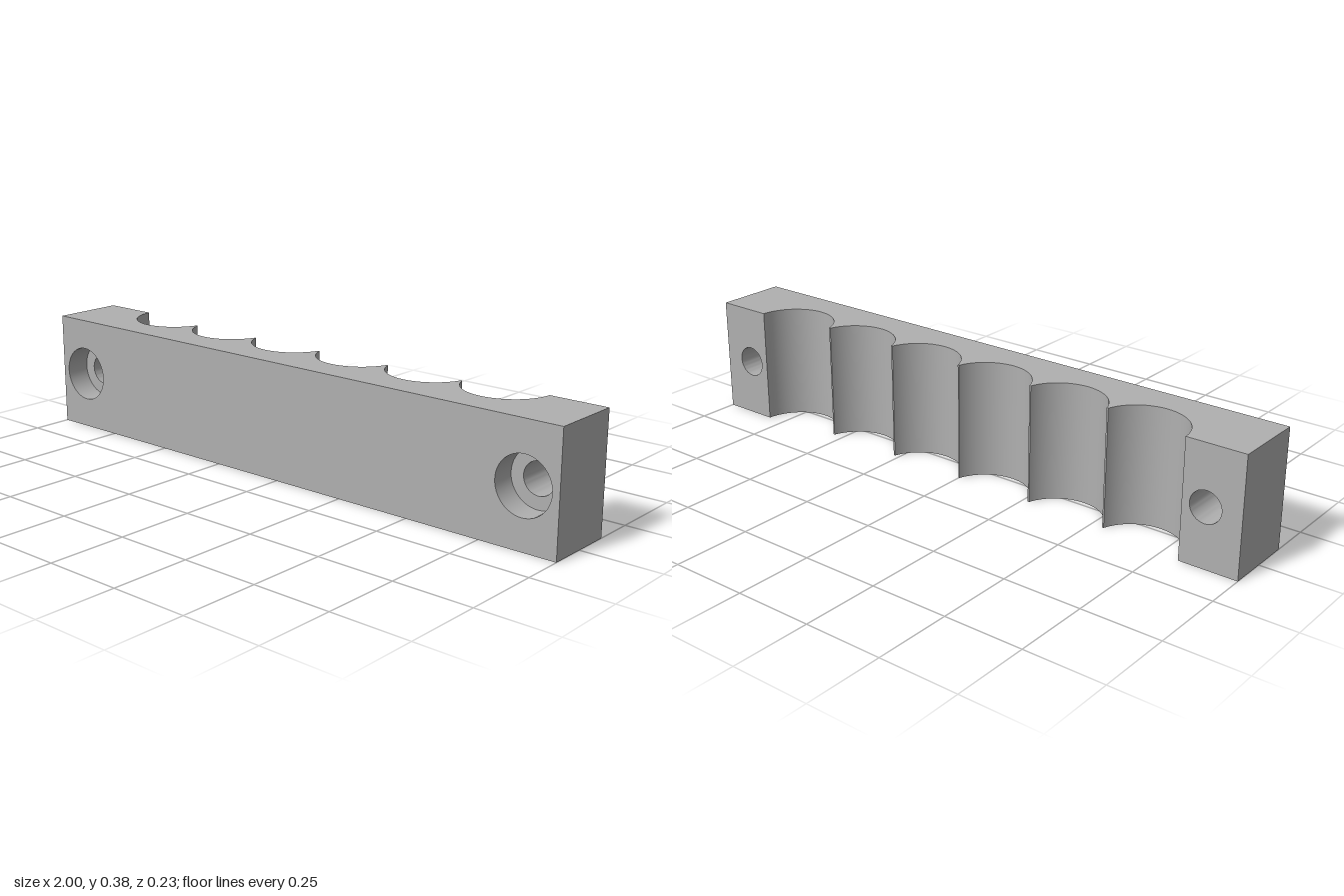
import * as THREE from 'three';
import { toCreasedNormals } from 'three/addons/utils/BufferGeometryUtils.js';

const H = 0.376, D = 0.117;                  // height, half depth
const PITCH = 0.27, R = 0.138, CZ = -0.122;  // scallop spacing, radius, axis z
const TIP_Z = -0.083;                        // flat tips between scallops
const HOLE_X = 0.887, BORE = 0.05, SINK = 0.09, SEAT_Z = 0.037;
const SEG = 24;

const tipAngle = Math.acos((TIP_Z - CZ) / R);
const endAngle = Math.acos((-D - CZ) / R);
const edgeX = 2.5 * PITCH + R * Math.sin(endAngle);

// centre and angular range of each of the six scallops
const scallops = Array.from({ length: 6 }, (_, i) => ({
  x: (i - 2.5) * PITCH,
  from: i === 0 ? -endAngle : -tipAngle,
  to: i === 5 ? endAngle : tipAngle,
}));

// outline seen from above; sign flips z so it can be laid facing up or down
function outline(sign) {
  const pts = [[-1, D], [-1, -D]];
  for (const s of scallops) {
    for (let k = 0; k <= SEG; k++) {
      const a = s.from + (s.to - s.from) * k / SEG;
      pts.push([s.x + R * Math.sin(a), CZ + R * Math.cos(a)]);
    }
  }
  pts.push([1, -D], [1, D]);
  return new THREE.Shape(pts.map(([x, z]) => new THREE.Vector2(x, sign * z)));
}

// upright rectangular face pierced by round holes
function piercedFace(x0, x1, holeXs, radius) {
  const shape = new THREE.Shape([[x0, 0], [x1, 0], [x1, H], [x0, H]].map(p => new THREE.Vector2(...p)));
  for (const x of holeXs) {
    shape.holes.push(new THREE.Path().absarc(x, H / 2, radius, 0, Math.PI * 2, true));
  }
  return new THREE.ShapeGeometry(shape, SEG);
}

export function createModel() {
  const model = new THREE.Group();
  model.name = 'scallopedRack';
  const grey = new THREE.MeshStandardMaterial({ color: 0xb0b0b0 });
  grey.name = 'plain grey';
  const add = (name, geometry) => {
    const mesh = new THREE.Mesh(geometry, grey);
    mesh.name = name;
    model.add(mesh);
  };

  // top and bottom
  add('topFace', new THREE.ShapeGeometry(outline(-1)).rotateX(-Math.PI / 2).translate(0, H, 0));
  add('bottomFace', new THREE.ShapeGeometry(outline(1)).rotateX(Math.PI / 2));

  // front with two counterbored openings
  add('frontFace', piercedFace(-1, 1, [-HOLE_X, HOLE_X], SINK).translate(0, 0, D));

  // ends, rear mounting pads and screw holes
  for (const side of [-1, 1]) {
    const label = side > 0 ? 'left' : 'right';
    add(label + 'End', new THREE.PlaneGeometry(2 * D, H).rotateY(side * Math.PI / 2).translate(side, H / 2, 0));

    const xs = [-side, -side * edgeX].sort((a, b) => a - b);
    add(label + 'RearPad', piercedFace(xs[0], xs[1], [-side * HOLE_X], BORE).rotateY(Math.PI).translate(0, 0, -D));

    const profile = [[SINK, D], [SINK, SEAT_Z], [BORE, SEAT_Z], [BORE, -D]].map(p => new THREE.Vector2(...p));
    const hole = new THREE.LatheGeometry(profile, 2 * SEG).rotateX(Math.PI / 2).translate(side * HOLE_X, H / 2, 0);
    add(label + 'ScrewHole', toCreasedNormals(hole, 0.6));
  }

  // concave scallop walls
  scallops.forEach((s, i) => {
    const profile = [new THREE.Vector2(R, H), new THREE.Vector2(R, 0)];
    add('scallop' + (i + 1), new THREE.LatheGeometry(profile, SEG, s.from, s.to - s.from).translate(s.x, 0, CZ));
  });

  // narrow flat tips between neighbouring scallops
  const tipWidth = PITCH - 2 * R * Math.sin(tipAngle);
  for (let i = -2; i <= 2; i++) {
    add('ridgeTip' + (i + 3), new THREE.PlaneGeometry(tipWidth, H).rotateY(Math.PI).translate(i * PITCH, H / 2, TIP_Z));
  }
  return model;
}
